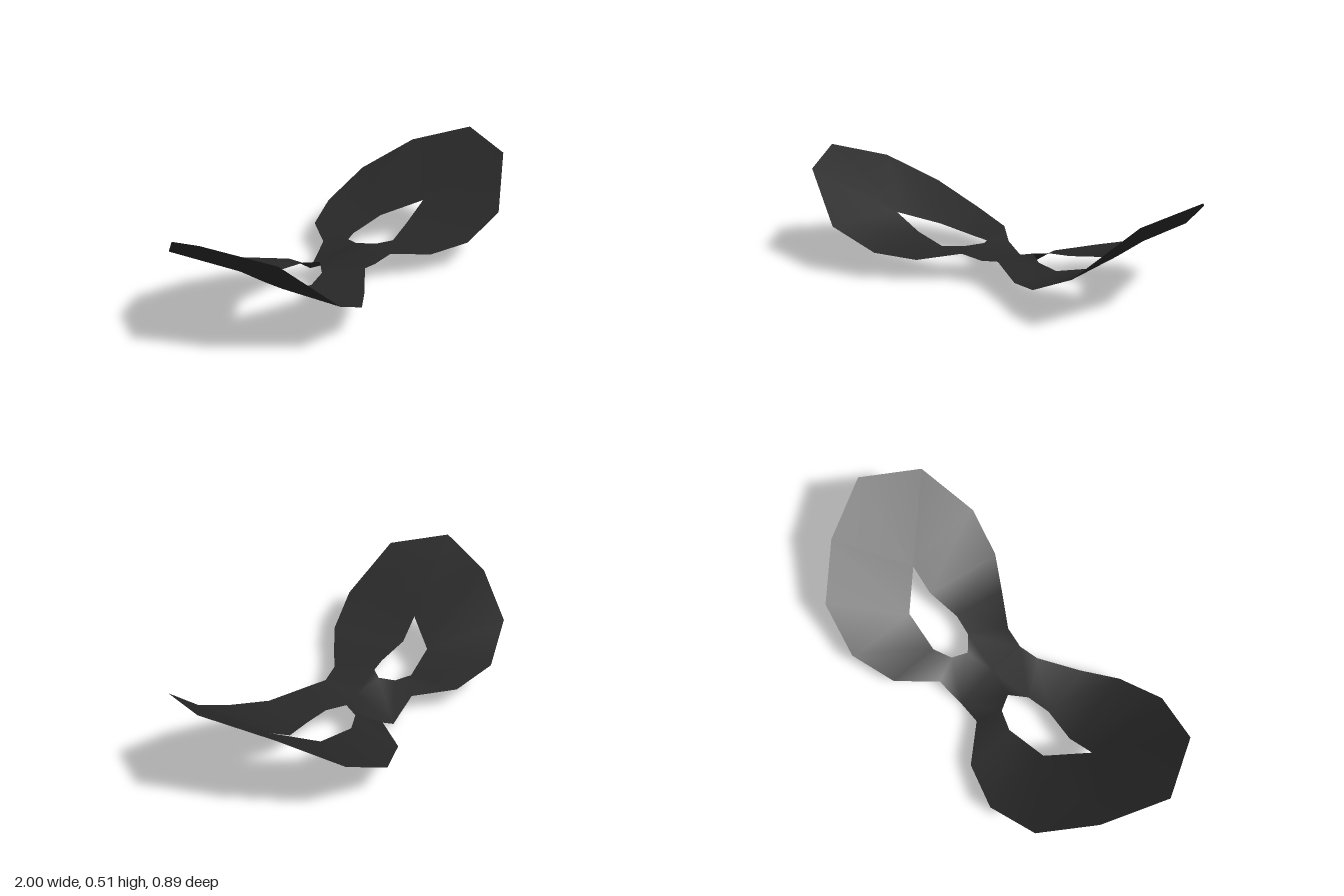
import * as THREE from 'three';
import { mergeVertices } from 'three/addons/utils/BufferGeometryUtils.js';

// Outer rim of the left half, from the nose tip round to the brow and the bridge
const rim = [
  [0, 0, -0.2], [0.13, 0.088, -0.22], [0.27, 0.103, -0.38], [0.48, 0.15, -0.45],
  [0.71, 0.275, -0.4], [0.88, 0.423, -0.2], [1, 0.51, 0.07], [0.87, 0.45, 0.335],
  [0.64, 0.23, 0.445], [0.43, 0.132, 0.4], [0.27, 0.102, 0.3], [0.1, 0.133, 0.185],
  [0, 0.115, 0.17], [0, 0.093, 0],
];

// Eye opening, from the outer corner round to the inner corner and back
const eye = [
  [0.61, 0.215, 0.04], [0.485, 0.135, 0.03], [0.32, 0.098, 0.055], [0.21, 0.11, 0.03],
  [0.14, 0.122, -0.035], [0.175, 0.112, -0.105], [0.265, 0.106, -0.14], [0.465, 0.145, -0.115],
];

// Eye point that each rim point is joined to
const partner = [5, 5, 6, 7, 7, 0, 0, 0, 1, 2, 2, 3, 3, 4];

function createMaskGeometry() {
  const positions = [];
  // Adds a triangle and its mirrored twin
  const addTriangle = (a, b, c) => {
    positions.push(...a, ...b, ...c);
    for (const [x, y, z] of [a, c, b]) positions.push(x === 0 ? 0 : -x, y, z);
  };

  // Band of faces between the rim and the eye opening
  rim.forEach((r0, i) => {
    const j = (i + 1) % rim.length;
    const r1 = rim[j], e0 = eye[partner[i]], e1 = eye[partner[j]];
    addTriangle(r0, e0, r1);
    if (e0 !== e1) addTriangle(r1, e0, e1);
  });

  const geometry = new THREE.BufferGeometry();
  geometry.setAttribute('position', new THREE.Float32BufferAttribute(positions, 3));
  const welded = mergeVertices(geometry);
  welded.computeVertexNormals();
  return welded;
}

export function createModel() {
  const group = new THREE.Group();
  group.name = 'eyeMask';

  const black = new THREE.MeshStandardMaterial({ color: 0x282828, side: THREE.DoubleSide });
  black.name = 'black';

  // Curved sheet with two eye openings
  const mask = new THREE.Mesh(createMaskGeometry(), black);
  mask.name = 'maskSheet';
  group.add(mask);
  return group;
}
